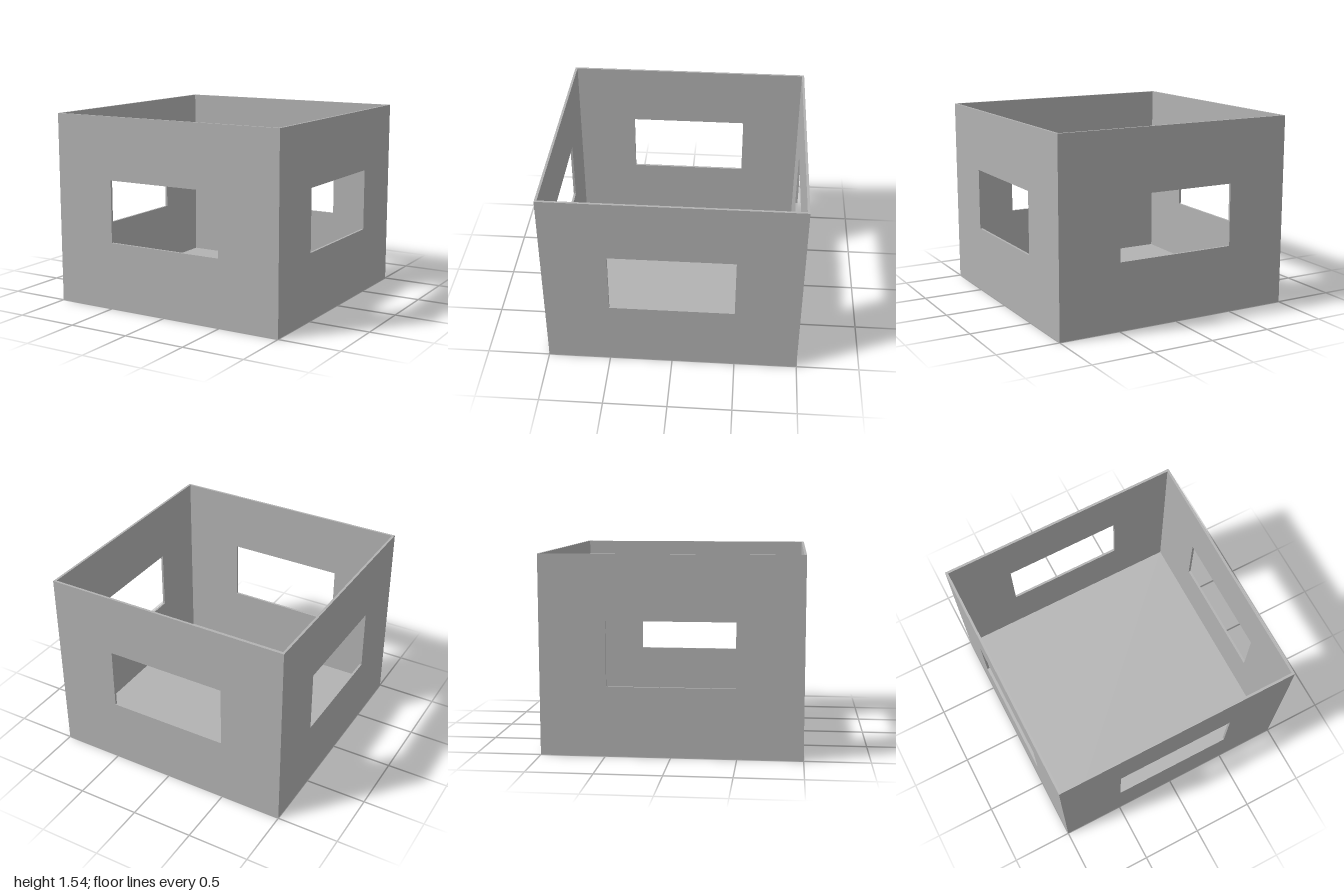
import * as THREE from 'three';

const HALF = 1, HEIGHT = 1.538, WALL = 0.019, FLOOR = 0.038;

export function createModel() {
  const group = new THREE.Group();
  const grey = new THREE.MeshStandardMaterial({ color: 0xb2b2b2 });
  grey.name = 'plain grey';

  // Wall panel with a centred window; mitred corners keep the shell seamless
  const panel = new THREE.Shape([
    new THREE.Vector2(-HALF, 0), new THREE.Vector2(HALF, 0),
    new THREE.Vector2(HALF, HEIGHT), new THREE.Vector2(-HALF, HEIGHT),
  ]);
  const w = 0.49, y0 = 0.538, y1 = 1.038;
  panel.holes.push(new THREE.Path([
    new THREE.Vector2(-w, y0), new THREE.Vector2(-w, y1),
    new THREE.Vector2(w, y1), new THREE.Vector2(w, y0),
  ]));
  const wallGeometry = new THREE.ExtrudeGeometry(panel, { depth: WALL, bevelEnabled: false });
  wallGeometry.translate(0, 0, HALF - WALL);
  const p = wallGeometry.attributes.position;
  for (let i = 0; i < p.count; i++) {
    if (Math.abs(p.getX(i)) > 0.9 && p.getZ(i) < HALF - WALL / 2) {
      p.setX(i, Math.sign(p.getX(i)) * (HALF - WALL));
    }
  }
  wallGeometry.computeVertexNormals();

  // Four identical walls around the centre
  ['frontWall', 'leftWall', 'backWall', 'rightWall'].forEach((name, i) => {
    const wall = new THREE.Mesh(wallGeometry, grey);
    wall.name = name;
    wall.rotation.y = i * Math.PI / 2;
    group.add(wall);
  });

  // Floor slab between the walls
  const inner = 2 * (HALF - WALL);
  const floor = new THREE.Mesh(new THREE.BoxGeometry(inner, FLOOR, inner), grey);
  floor.name = 'floor';
  floor.position.y = FLOOR / 2;
  group.add(floor);

  return group;
}
